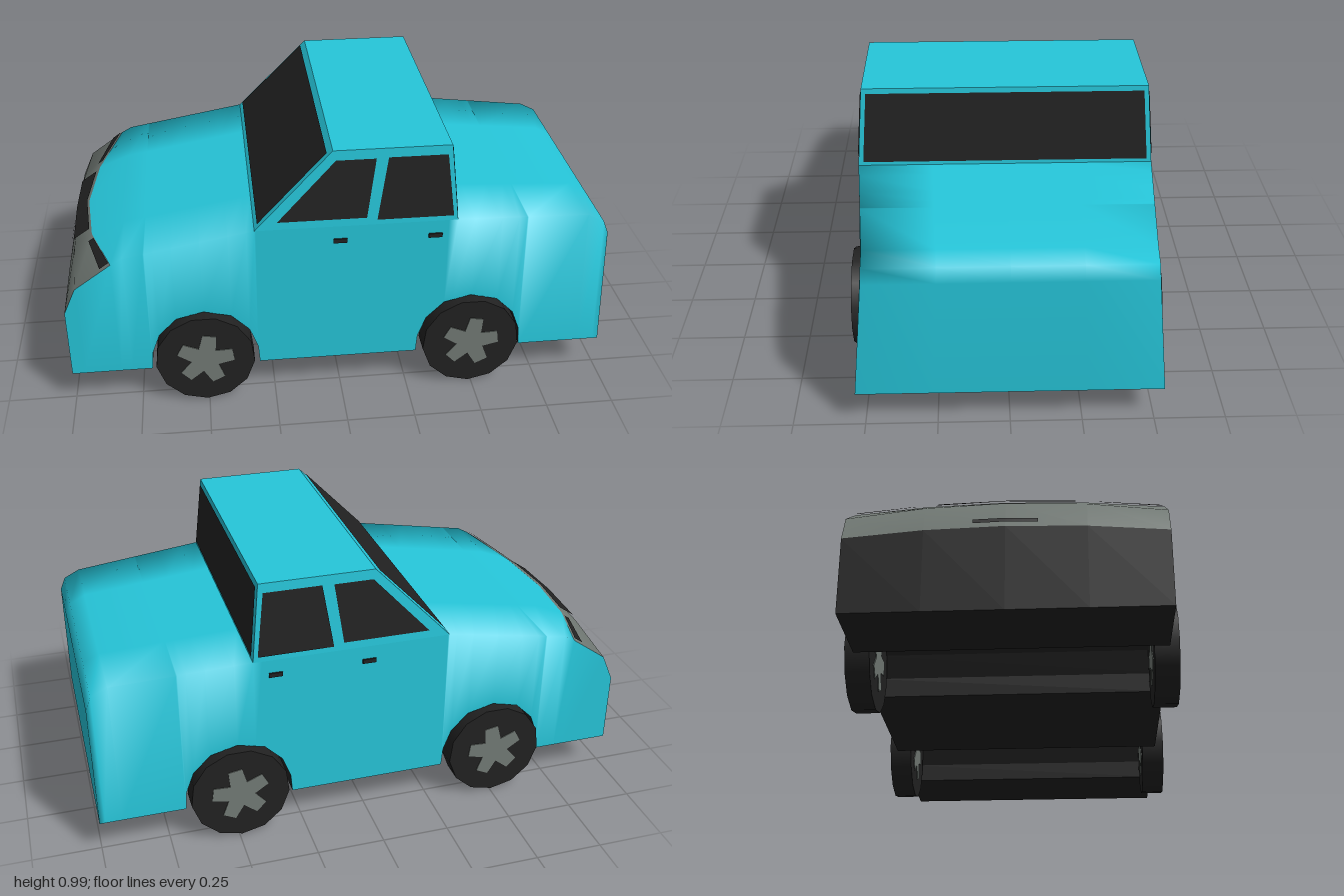
import * as THREE from 'three';
import { mergeGeometries, mergeVertices } from 'three/addons/utils/BufferGeometryUtils.js';

const mat = (name, color, extra = {}) => new THREE.MeshStandardMaterial({ name, color, ...extra });

// Piecewise linear lookup in a table whose first column is the key
function lerpTable(table, key, col) {
  for (let i = 1; i < table.length; i++) {
    const a = table[i - 1], b = table[i];
    if (key <= b[0]) return a[col] + (b[col] - a[col]) * (key - a[0]) / (b[0] - a[0]);
  }
  return table[table.length - 1][col];
}

// Surface from rows of points; faces look along (row direction x column direction)
function grid(rows) {
  const n = rows[0].length, index = [];
  for (let i = 0; i < rows.length - 1; i++) {
    for (let j = 0; j < n - 1; j++) {
      const a = i * n + j, b = a + n;
      index.push(a, b, b + 1, a, b + 1, a + 1);
    }
  }
  const geo = new THREE.BufferGeometry();
  geo.setAttribute('position', new THREE.Float32BufferAttribute(rows.flat(2), 3));
  geo.setIndex(index);
  geo.computeVertexNormals();
  return geo;
}

// Joins surfaces and smooths the normals across their shared edges
function smoothJoin(geos) {
  geos.forEach((g) => g.deleteAttribute('normal'));
  const geo = mergeVertices(mergeGeometries(geos), 1e-4);
  geo.computeVertexNormals();
  return geo;
}

export function createModel() {
  const car = new THREE.Group();
  car.name = 'car';
  const paint = mat('turquoise paint', 0x26c6da);
  const black = mat('black trim', 0x222222, { side: THREE.DoubleSide });
  const grey = mat('grey metal', 0x737b76);
  const add = (name, geo, material, parent = car) => {
    const mesh = new THREE.Mesh(geo, material);
    mesh.name = name;
    parent.add(mesh);
    return mesh;
  };

  // Shoulder line (x, y, half width) and sill line with wheel arches (x, y)
  const W = 0.53;
  const shoulder = [[-1, 0.4, W], [-0.955, 0.5, W], [-0.82, 0.595, W], [-0.78, 0.617, W], [-0.31, 0.7, W],
    [0.42, 0.7, W], [0.92, 0.66, 0.485], [0.98, 0.63, 0.485], [1, 0.58, 0.487]];
  const arch = [[-0.2, 0.13], [-0.195, 0.2], [-0.165, 0.28], [-0.1, 0.345], [0, 0.37],
    [0.1, 0.345], [0.165, 0.28], [0.195, 0.2], [0.2, 0.13]];
  const round = (v) => Math.round(v * 1000) / 1000;
  const sill = [[-1, 0.13]];
  for (const c of [-0.505, 0.487]) arch.forEach(([x, y]) => sill.push([round(c + x), y]));
  sill.push([1, 0.13]);
  const xs = [...new Set([...shoulder, ...sill].map((p) => p[0]))].sort((a, b) => a - b);

  // Nose surface: s runs up the front, u runs across, corners swept back
  const bow = [[0, 0], [0.5, 0.25], [1, 1]];
  const nose = (s, u) => {
    const k = lerpTable(bow, Math.abs(u), 1);
    const rows = [[0, -1, 0.13], [1, -1, 0.43 - 0.03 * k], [2, -0.975 + 0.02 * k, 0.53 - 0.03 * k],
      [3, -0.93 + 0.11 * k, 0.56 + 0.035 * k]];
    return [lerpTable(rows, s, 1), lerpTable(rows, s, 2), u * W];
  };
  const across = [1, 0.5, 0, -0.5, -1];
  const topRow = (x) => across.map((u) => (x === -0.82 ? nose(3, u)
    : [x, lerpTable(shoulder, x, 1), u * lerpTable(shoulder, x, 2)]));

  // Painted shell: both sides, bonnet, rear deck and tail
  const side = (sign) => grid(xs.map((x) => {
    const low = [x, lerpTable(sill, x, 1), sign * W];
    const high = [x, lerpTable(shoulder, x, 1), sign * lerpTable(shoulder, x, 2)];
    return sign > 0 ? [low, high] : [high, low];
  }));
  const bonnet = grid(xs.filter((x) => x >= -0.82 && x <= -0.31).map(topRow));
  const deck = grid([...xs.filter((x) => x >= 0.42).map(topRow), across.map((u) => [1, 0.13, u * W])]);
  add('bodyShell', smoothJoin([side(1), side(-1), bonnet, deck]), paint);

  // Floor with wheel tunnels
  add('floor', grid(xs.map((x) => [-W, W].map((z) => [x, lerpTable(sill, x, 1), z]))).toNonIndexed(), black)
    .geometry.computeVertexNormals();

  // Nose: black bumper, grey panel and dark inserts
  const noseGrid = (ss, us, lift = 0) => grid(ss.map((s) => us.map((u) => {
    const [x, y, z] = nose(s, u);
    return [x - lift, y + lift, z];
  })));
  const span = (a, b, n = 8) => Array.from({ length: n + 1 }, (_, i) => a + (b - a) * i / n);
  add('frontBumper', noseGrid([0, 1], across), black);
  add('nosePanel', noseGrid([1, 2, 3], across), grey);
  add('grille', noseGrid([2.0, 2.5, 2.95], span(0.43, -0.43), 0.005), black);
  add('lowerSlot', noseGrid([1.12, 1.28], span(0.2, -0.2), 0.004), black);
  add('leftLamp', noseGrid([2.75, 3], span(0.98, 0.58), 0.004), black);
  add('rightLamp', noseGrid([2.75, 3], span(-0.58, -0.98), 0.004), black);

  // Cabin: a box tapered toward the roof
  const base = { y: 0.7, front: -0.31, back: 0.42, z: W };
  const roof = { y: 0.99, front: -0.03, back: 0.39, z: 0.508 };
  const cabin = new THREE.BoxGeometry(1, 1, 1);
  const pos = cabin.attributes.position;
  for (let i = 0; i < pos.count; i++) {
    const r = pos.getY(i) > 0 ? roof : base;
    pos.setXYZ(i, pos.getX(i) < 0 ? r.front : r.back, r.y, Math.sign(pos.getZ(i)) * r.z);
  }
  cabin.computeVertexNormals();
  add('cabin', cabin, paint);

  // Glass panes lifted slightly off the cabin
  const mix = (key, f) => base[key] + (roof[key] - base[key]) * f;
  const endPane = (name, key, lx, ly) => add(name, grid([0.05, 0.94].map((f) => [1, -1].map((u) =>
    [mix(key, f) + lx, mix('y', f) + ly, u * (mix('z', f) - 0.017)]))), black);
  endPane('windscreen', 'front', -0.003, 0.003);
  endPane('rearWindow', 'back', 0.004, 0);
  const sideWindows = {
    FrontWindow: [[[-0.23, 0.73], [0.09, 0.73]], [[-0.02, 0.955], [0.122, 0.955]]],
    RearWindow: [[[0.127, 0.72], [0.403, 0.72]], [[0.165, 0.957], [0.375, 0.957]]],
  };
  for (const sign of [1, -1]) {
    const label = sign > 0 ? 'left' : 'right';
    for (const [name, rows] of Object.entries(sideWindows)) {
      const pts = rows.map((row) => row.map(([x, y]) =>
        [x, y, sign * (mix('z', (y - base.y) / (roof.y - base.y)) + 0.004)]));
      // Column order is swapped by side so that each pane looks outward
      add(label + name, grid(pts.map((r) => (sign > 0 ? r.slice().reverse() : r))), black);
    }
    // Door handles
    for (const x of [-0.005, 0.34]) {
      add(label + 'DoorHandle', new THREE.BoxGeometry(0.05, 0.016, 0.009), black)
        .position.set(x, 0.642, sign * (W + 0.002));
    }
  }

  // Wheels with a five-spoke star showing on both faces
  const star = new THREE.Shape();
  for (let i = 0; i < 5; i++) {
    const a = 0.14 + i * Math.PI * 0.4;
    [[-0.24, 0.107], [0.24, 0.107], [Math.PI / 5, 0.053]].forEach(([da, r], j) => {
      const p = [Math.cos(a + da) * r, Math.sin(a + da) * r];
      if (i + j === 0) star.moveTo(...p); else star.lineTo(...p);
    });
  }
  const starGeo = new THREE.ExtrudeGeometry(star, { depth: 0.091, bevelEnabled: false }).translate(0, 0, -0.0455);
  const tyreGeo = new THREE.CylinderGeometry(0.183, 0.183, 0.085, 13).rotateX(Math.PI / 2);
  for (const x of [-0.507, 0.489]) {
    for (const sign of [1, -1]) {
      const wheel = new THREE.Group();
      wheel.name = (x < 0 ? 'front' : 'rear') + (sign > 0 ? 'Left' : 'Right') + 'Wheel';
      wheel.position.set(x, 0.183, sign * 0.5225);
      add('tyre', tyreGeo, black, wheel);
      add('hubStar', starGeo, grey, wheel);
      car.add(wheel);
    }
  }
  return car;
}
